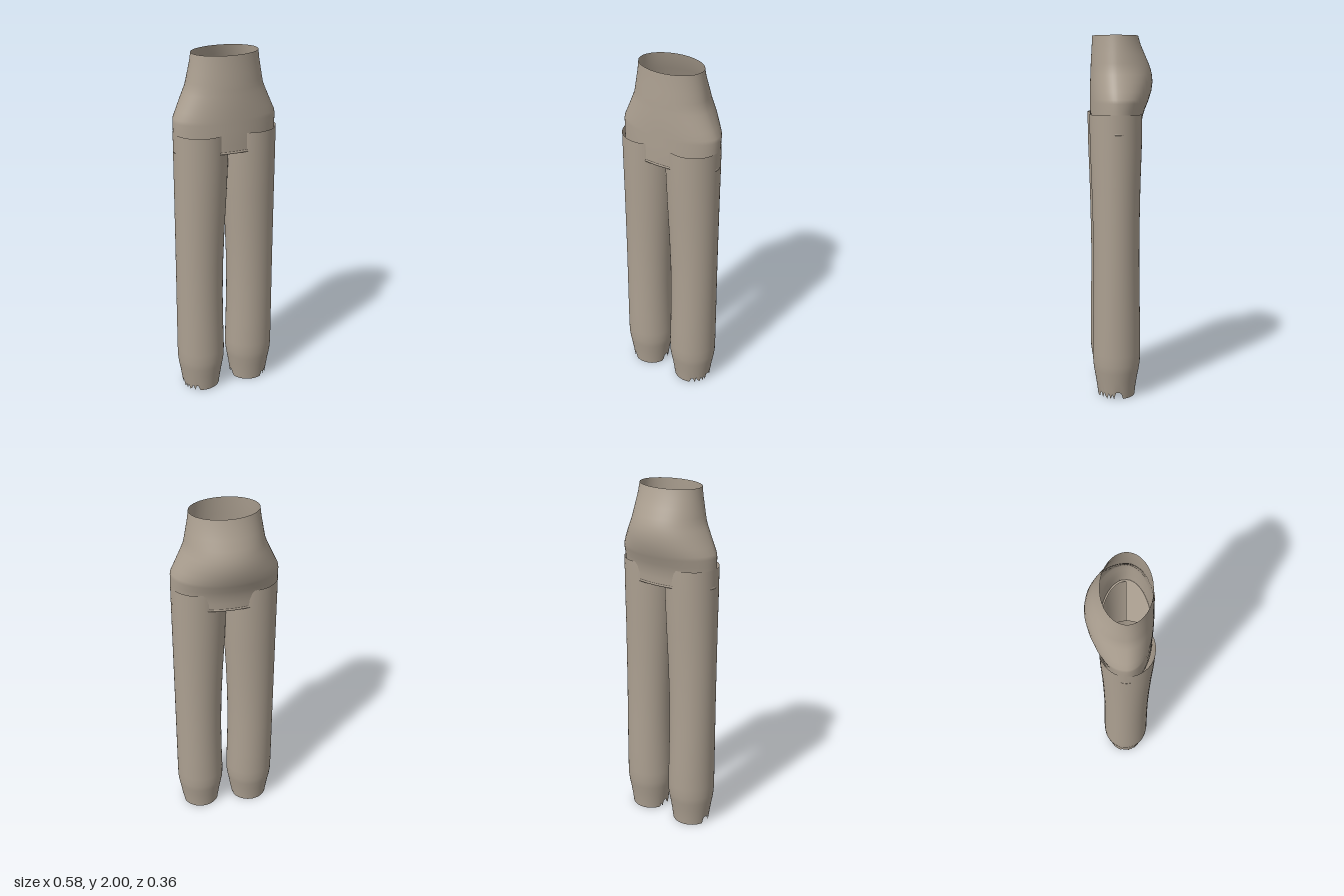
import * as THREE from 'three';

const SEG = 64;

// Loft of open rings; each row is [y, xMin, xMax, zBack, zMid, zFront].
// ragged(angle) may lift points of the last row.
function loft(rows, ragged = () => 0) {
  const pos = [], idx = [];
  rows.forEach(([y, x0, x1, zb, zm, zf], r) => {
    for (let i = 0; i < SEG; i++) {
      const a = (i / SEG) * Math.PI * 2, c = Math.cos(a);
      const x = (x0 + x1) / 2 + ((x1 - x0) / 2) * Math.sin(a);
      const z = zm + c * (c > 0 ? zf - zm : zm - zb);
      pos.push(x, y + (r === rows.length - 1 ? ragged(i) : 0), z);
      if (r === 0) continue;
      const j = (i + 1) % SEG, t = (r - 1) * SEG, b = r * SEG;
      idx.push(t + i, b + i, b + j, t + i, b + j, t + j);
    }
  });
  const g = new THREE.BufferGeometry();
  g.setAttribute('position', new THREE.Float32BufferAttribute(pos, 3));
  g.setIndex(idx);
  g.computeVertexNormals();
  return g;
}

export function createModel() {
  const group = new THREE.Group();
  const cloth = new THREE.MeshStandardMaterial({ color: 0xaca091, side: THREE.DoubleSide });
  cloth.name = 'taupe cloth';
  const add = (name, geometry) => {
    const m = new THREE.Mesh(geometry, cloth);
    m.name = name;
    group.add(m);
    return m;
  };

  // Waist and hips: [y, half width, back z, front z]
  const hip = [
    [2, 0.185, -0.097, 0.155], [1.95, 0.191, -0.112, 0.157], [1.9, 0.2, -0.134, 0.16],
    [1.85, 0.209, -0.156, 0.163], [1.82, 0.215, -0.167, 0.164], [1.79, 0.227, -0.174, 0.165],
    [1.75, 0.245, -0.178, 0.167], [1.7, 0.268, -0.171, 0.168], [1.66, 0.287, -0.158, 0.168],
    [1.64, 0.29, -0.151, 0.168], [1.6, 0.29, -0.134, 0.168], [1.56, 0.29, -0.122, 0.168],
    [1.52, 0.29, -0.116, 0.167], [1.48, 0.289, -0.114, 0.166],
  ];
  add('hips', loft(hip.map(([y, w, b, f]) => [y, -w, w, b, 0.03, f])));

  // Hem turned in below the hips
  add('hipHem', loft([
    [1.486, -0.289, 0.289, -0.114, 0.03, 0.166],
    [1.483, -0.292, 0.292, -0.117, 0.03, 0.169],
    [1.475, -0.292, 0.292, -0.117, 0.03, 0.169],
    [1.473, -0.28, 0.28, -0.105, 0.03, 0.157],
  ]));

  // Half floor closing the front of the hips
  const floor = new THREE.Shape();
  floor.absellipse(0, 0, 0.288, 0.135, 0, Math.PI);
  const lining = add('frontLining', new THREE.ShapeGeometry(floor, 32));
  lining.rotation.x = Math.PI / 2;
  lining.position.set(0, 1.48, 0.03);

  // Legs: [y, inner x, outer x, back z, front z]
  const leg = [
    [1.58, -0.012, 0.29, -0.109, 0.178], [1.4, -0.008, 0.29, -0.107, 0.175],
    [1.2, 0, 0.29, -0.1, 0.168], [1, 0.011, 0.29, -0.096, 0.163],
    [0.8, 0.019, 0.29, -0.094, 0.16], [0.6, 0.022, 0.29, -0.096, 0.161],
    [0.4, 0.019, 0.29, -0.1, 0.164], [0.25, 0.015, 0.29, -0.101, 0.166],
    [0.19, 0.016, 0.289, -0.099, 0.164], [0.15, 0.022, 0.284, -0.093, 0.159],
    [0.1, 0.031, 0.275, -0.083, 0.15], [0.04, 0.04, 0.266, -0.074, 0.141],
    [0, 0.045, 0.261, -0.07, 0.136],
  ];
  // Torn cuff: deeper notches on the outer side, a small one inside
  const tears = { 5: 0.025, 6: 0.03, 8: 0.03, 9: 0.01, 11: 0.03, 13: 0.025, 15: 0.036, 16: 0.036,
    17: 0.036, 18: 0.03, 45: 0.02, 47: 0.034, 48: 0.036, 49: 0.036, 50: 0.012 };
  for (const s of [1, -1]) {
    const rows = leg.map(([y, i, o, b, f]) => [y, s > 0 ? i : -o, s > 0 ? o : -i, b, 0.033, f]);
    const torn = (i) => tears[s > 0 ? i : (SEG - i) % SEG] || 0;
    add(s > 0 ? 'leftLeg' : 'rightLeg', loft(rows, torn));
  }
  return group;
}
